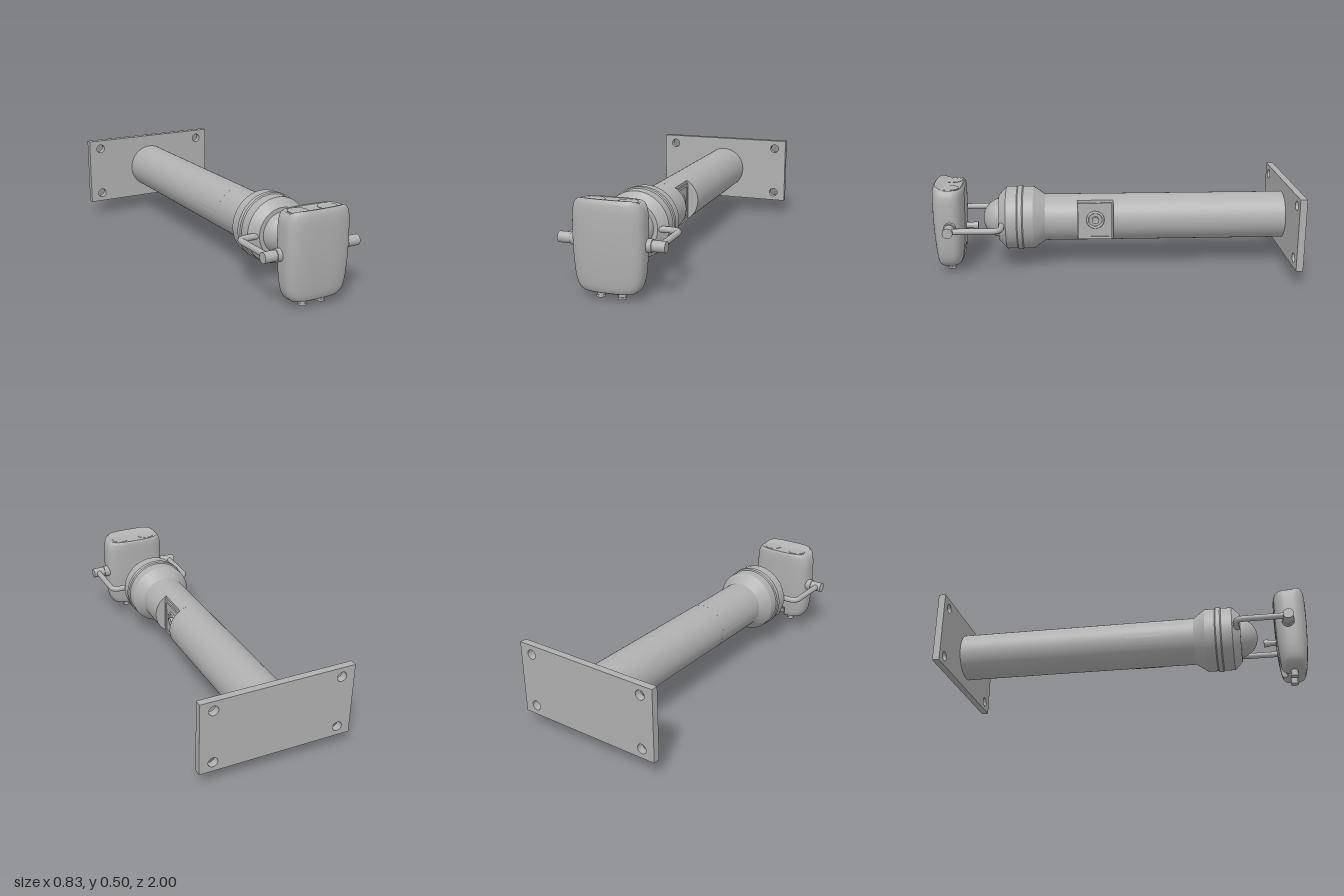
import * as THREE from 'three';
import { toCreasedNormals } from 'three/addons/utils/BufferGeometryUtils.js';

const AXIS_Y = 0.277;
const steel = new THREE.MeshStandardMaterial({ color: 0xb0b0b0 });
steel.name = 'grey steel';

export function createModel() {
  const model = new THREE.Group();
  model.name = 'wallMountedArm';

  const add = (name, geo, x = 0, y = 0, z = 0) => {
    const mesh = new THREE.Mesh(geo, steel);
    mesh.name = name;
    mesh.position.set(x, y, z);
    model.add(mesh);
    return mesh;
  };
  // Cylinder running along one axis between two coordinates
  const rod = (name, axis, r, from, to, [a, b], sides = 40) => {
    const geo = new THREE.CylinderGeometry(r, r, Math.abs(to - from), sides);
    const mid = (from + to) / 2;
    if (axis === 'x') return add(name, geo.rotateZ(Math.PI / 2), mid, a, b);
    if (axis === 'y') return add(name, geo, a, mid, b);
    return add(name, geo.rotateX(Math.PI / 2), a, b, mid);
  };
  const rect = (w, h) => new THREE.Shape([
    new THREE.Vector2(-w, -h), new THREE.Vector2(w, -h),
    new THREE.Vector2(w, h), new THREE.Vector2(-w, h)]);

  // Wall plate with four bolt holes
  const plate = rect(0.415, 0.198);
  for (const x of [-0.343, 0.343]) for (const y of [-0.146, 0.146]) {
    plate.holes.push(new THREE.Path().absarc(x, y, 0.026, 0, Math.PI * 2, true));
  }
  add('wallPlate', toCreasedNormals(new THREE.ExtrudeGeometry(plate,
    { depth: 0.038, bevelEnabled: false, curveSegments: 24 }), 0.6), 0, 0.28, -1);

  // Round arm with a flat milled on its left side
  const R = 0.131, flatX = 0.066;
  rod('rearArm', 'z', R, -0.965, 0, [0, AXIS_Y], 64);
  rod('frontArm', 'z', R, 0.2, 0.4, [0, AXIS_Y], 64);
  const cut = Math.acos(flatX / R);
  const section = new THREE.Shape().absarc(0, 0, R, cut, Math.PI * 2 - cut, false);
  section.closePath();
  add('milledArm', toCreasedNormals(new THREE.ExtrudeGeometry(section,
    { depth: 0.2, bevelEnabled: false, curveSegments: 56 }), 0.5), 0, AXIS_Y, 0);

  // Framed badge plate with a plain round boss
  const frame = rect(0.095, 0.105);
  frame.holes.push(rect(0.08, 0.09));
  add('badgeFrame', new THREE.ExtrudeGeometry(frame, { depth: 0.009, bevelEnabled: false })
    .rotateY(Math.PI / 2), flatX, AXIS_Y - 0.007, 0.103);
  add('badgePlate', new THREE.BoxGeometry(0.004, 0.18, 0.16), flatX + 0.002, AXIS_Y - 0.007, 0.103);
  add('badgeRing', new THREE.TorusGeometry(0.044, 0.007, 8, 40).rotateY(Math.PI / 2),
    flatX + 0.006, AXIS_Y, 0.1);
  rod('badgeBoss', 'x', 0.02, flatX, 0.088, [AXIS_Y, 0.1], 24);

  // Collar with a raised band, and the ball in its mouth
  const profile = [[0, 0.38], [0.131, 0.38], [0.176, 0.445], [0.176, 0.5], [0.182, 0.506],
    [0.182, 0.53], [0.176, 0.536], [0.176, 0.595], [0.132, 0.638], [0, 0.638]];
  const lathe = new THREE.LatheGeometry(profile.map(([r, z]) => new THREE.Vector2(r, z)), 64);
  add('collar', toCreasedNormals(lathe.rotateX(Math.PI / 2), 0.3), 0, AXIS_Y, 0);
  add('ball', new THREE.SphereGeometry(0.112, 40, 24), 0, AXIS_Y, 0.617);

  // Bent yoke arms and hinge pegs on both sides
  for (const s of [1, -1]) {
    const side = s > 0 ? 'left' : 'right';
    const v = (x, z) => new THREE.Vector3(s * x, 0.274, z);
    const path = new THREE.CurvePath();
    path.add(new THREE.LineCurve3(v(0.08, 0.618), v(0.2, 0.618)));
    path.add(new THREE.QuadraticBezierCurve3(v(0.2, 0.618), v(0.244, 0.618), v(0.244, 0.662)));
    path.add(new THREE.LineCurve3(v(0.244, 0.662), v(0.244, 0.9)));
    add(side + 'YokeArm', new THREE.TubeGeometry(path, 60, 0.0165, 16, false));
    rod(side + 'HingeCollar', 'x', 0.033, s * 0.16, s * 0.207, [0.272, 0.897]);
    rod(side + 'HingePeg', 'x', 0.028, s * 0.2, s * 0.275, [0.272, 0.897]);
    // Bottom nozzles and lens rims
    rod(side + 'Nozzle', 'y', 0.019, 0.005, 0.06, [s * 0.055, 0.912], 28);
    rod(side + 'NozzleLip', 'y', 0.022, 0, 0.011, [s * 0.055, 0.912], 28);
    rod(side + 'TopDisc', 'y', 0.051, 0.468, 0.476, [s * 0.085, 0.9]);
  }

  // Rear stud
  rod('rearStud', 'z', 0.017, 0.77, 0.84, [0, 0.233], 28);
  rod('rearStudCap', 'z', 0.021, 0.76, 0.785, [0, 0.233], 28);

  add('housing', housingGeometry());
  return model;
}

// Lofted rounded housing: rows are height, half width, back z, front z
function housingGeometry() {
  const rows = [
    [0.036, 0, 0.912, 0.912], [0.036, 0.06, 0.885, 0.94], [0.036, 0.115, 0.862, 0.965],
    [0.041, 0.135, 0.853, 0.974], [0.055, 0.151, 0.846, 0.981], [0.075, 0.162, 0.842, 0.985],
    [0.1, 0.169, 0.838, 0.988], [0.13, 0.174, 0.834, 0.991], [0.2, 0.18, 0.828, 0.996],
    [0.3, 0.183, 0.825, 1], [0.4, 0.182, 0.824, 1], [0.44, 0.179, 0.824, 0.999],
    [0.47, 0.173, 0.825, 0.996], [0.487, 0.165, 0.827, 0.991], [0.495, 0.156, 0.832, 0.984],
    [0.495, 0.148, 0.838, 0.975], [0.492, 0.144, 0.841, 0.968], [0.492, 0.13, 0.85, 0.952],
    [0.492, 0.09, 0.87, 0.93], [0.492, 0, 0.9, 0.9]];
  const N = 96, pos = [], index = [];
  const bend = (c) => Math.sign(c) * Math.abs(c) ** 0.62;
  rows.forEach(([y, w, back, front], j) => {
    for (let i = 0; i < N; i++) {
      const a = (i / N) * Math.PI * 2;
      const x = w * bend(Math.cos(a));
      let z = (back + front) / 2 + (front - back) / 2 * bend(Math.sin(a));
      // The top sinks behind a raised front lip
      const sink = Math.max(0, (y - 0.42) / 0.075) * 0.019;
      const top = y - sink * (1 - THREE.MathUtils.smoothstep(z, 0.92, 0.978));
      // Small scoop low on the back
      if (j > 1 && y < 0.12 && Math.sin(a) < 0 && Math.abs(x) < 0.03) z += 0.025;
      pos.push(x, top, z);
      if (j < rows.length - 1) {
        const p = j * N + i, q = j * N + (i + 1) % N;
        index.push(p, p + N, q, q, p + N, q + N);
      }
    }
  });
  const geo = new THREE.BufferGeometry();
  geo.setAttribute('position', new THREE.Float32BufferAttribute(pos, 3));
  geo.setIndex(index);
  return toCreasedNormals(geo, 0.6);
}
